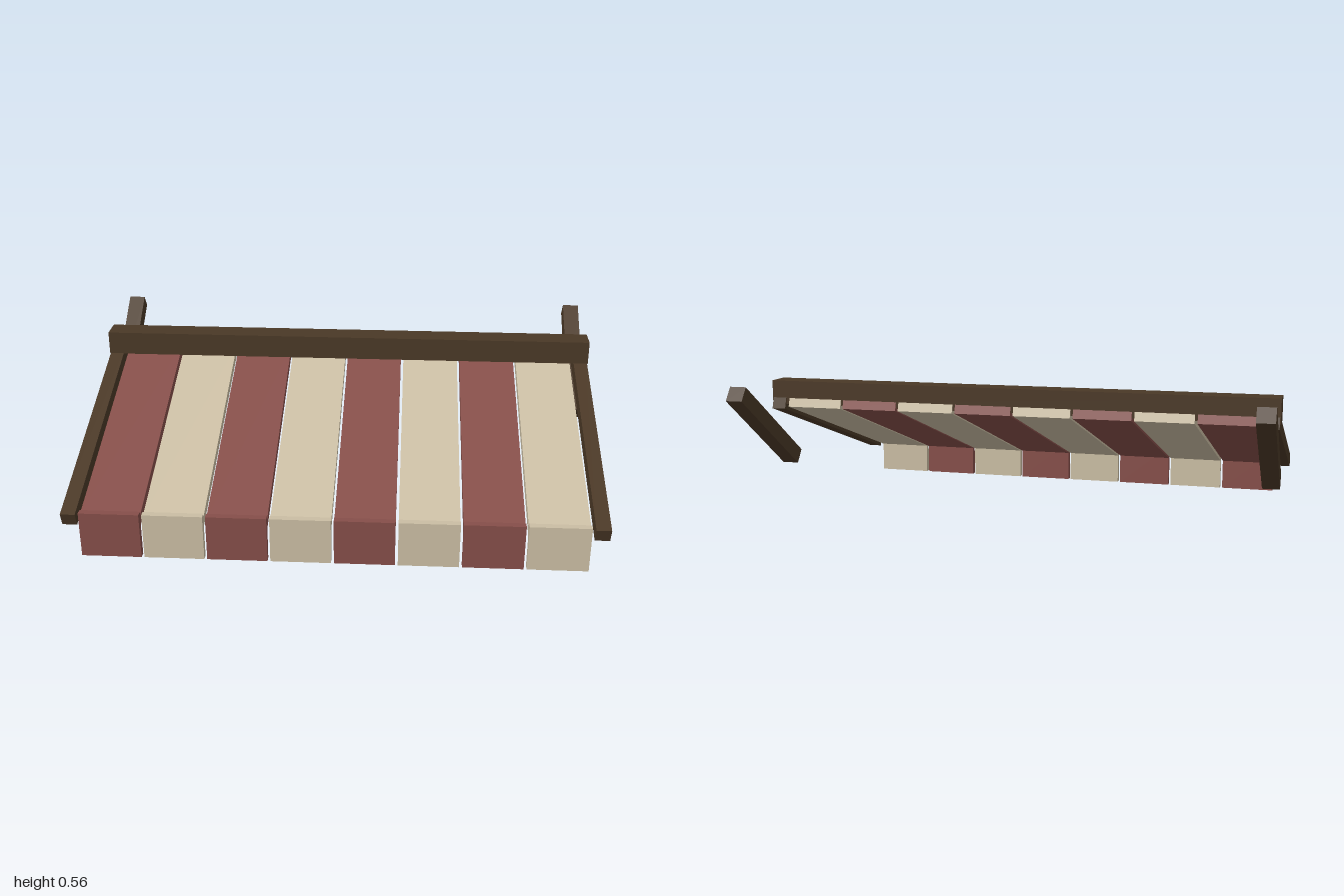
import * as THREE from 'three';

export function createModel() {
  const model = new THREE.Group();
  model.name = 'awning';

  const material = (name, color) => {
    const m = new THREE.MeshStandardMaterial({ color });
    m.name = name;
    return m;
  };
  const wood = material('dark wood', 0x4a3826);
  const red = material('faded red', 0x854e49);
  const cream = material('cream', 0xcabda3);

  // Box placed by its centre and tilted about x
  const addBox = (name, mat, size, position, tilt = 0) => {
    const mesh = new THREE.Mesh(new THREE.BoxGeometry(...size), mat);
    mesh.name = name;
    mesh.position.set(...position);
    mesh.rotation.x = tilt;
    model.add(mesh);
  };

  const slope = 0.32; // roof falls towards the front

  // Wall beam along the back
  addBox('wallBeam', wood, [1.995, 0.093, 0.096], [0, 0.496, -0.256], 0);

  // Sloping side rails and the loose diagonal struts behind them
  for (const [side, s] of [['left', 1], ['right', -1]]) {
    addBox(side + 'Rail', wood, [0.055, 0.053, 1.011], [s * 0.967, 0.298, 0.17], slope);
    addBox(side + 'Strut', wood, [0.065, 0.061, 0.53], [s * 0.9675, 0.377, -0.43], 0.627);
  }

  // Striped panels with a hanging valance at the front edge
  for (let i = 0; i < 8; i++) {
    const x = (i - 3.5) * 0.2325;
    const mat = i % 2 ? cream : red;
    addBox('panel' + (i + 1), mat, [0.222, 0.035, 1.011], [x, 0.298, 0.17], slope);
    addBox('valance' + (i + 1), mat, [0.222, 0.176, 0.026], [x, 0.088, 0.655]);
  }

  return model;
}
